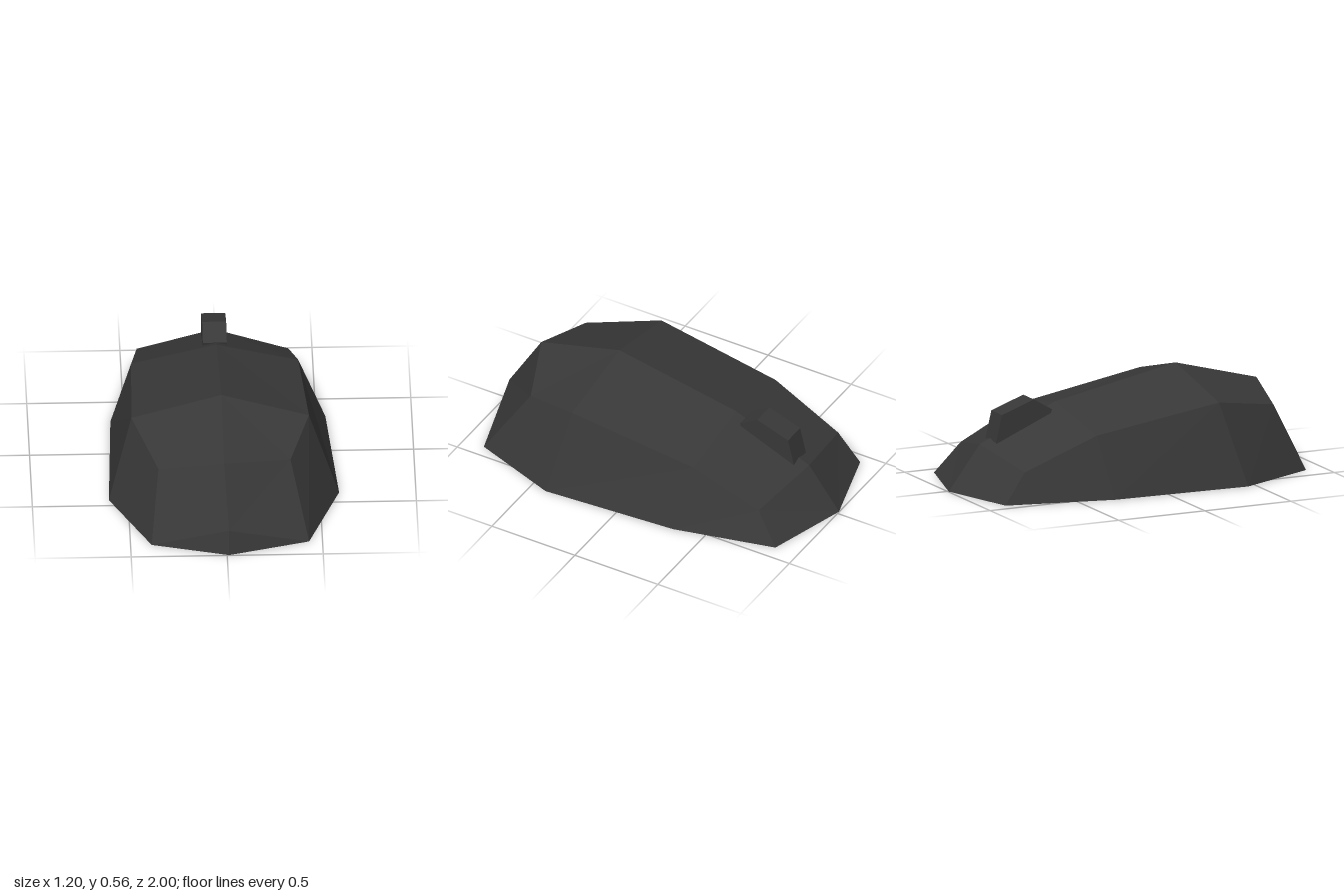
import * as THREE from 'three';

const shellMat = new THREE.MeshStandardMaterial({ color: 0x383838 });
shellMat.name = 'charcoal';
const sensorMat = new THREE.MeshStandardMaterial({ color: 0x8a2020 });
sensorMat.name = 'sensorRed';

// Flat-faced geometry from polygons, each fanned from its first corner
function facetGeometry(polygons) {
  const pos = [];
  for (const p of polygons) {
    for (let i = 1; i < p.length - 1; i++) pos.push(...p[0], ...p[i], ...p[i + 1]);
  }
  const g = new THREE.BufferGeometry();
  g.setAttribute('position', new THREE.Float32BufferAttribute(pos, 3));
  g.computeVertexNormals();
  return g;
}

export function createModel() {
  const group = new THREE.Group();
  group.name = 'computerMouse';

  // Cross-sections, front to back: left foot, left shoulder, ridge, right shoulder, right foot
  const sections = [
    [[0.43, 0, 0.88], [0.34, 0.36, 0.65], [-0.01, 0.43, 0.79], [-0.35, 0.36, 0.72], [-0.39, 0, 0.89]],
    [[0.6, 0, 0.41], [0.445, 0.435, 0.34], [-0.01, 0.555, 0.32], [-0.48, 0.435, 0.34], [-0.6, 0, 0.45]],
    [[0.55, 0, -0.33], [0.41, 0.325, -0.37], [-0.015, 0.42, -0.38], [-0.46, 0.325, -0.36], [-0.57, 0, -0.31]],
    [[0.42, 0, -0.87], [0.37, 0.16, -0.74], [-0.015, 0.235, -0.82], [-0.42, 0.16, -0.76], [-0.44, 0, -0.88]],
  ];
  const nose = [0.01, 0.13, 0.97], noseFoot = [0.01, 0, 1], tail = [-0.015, 0, -1];
  const faces = [];

  // Sides and top between neighbouring sections
  for (let s = 0; s < 3; s++) {
    const a = sections[s], b = sections[s + 1];
    for (let i = 0; i < 4; i++) faces.push([a[i], b[i], b[i + 1], a[i + 1]]);
  }

  // Front end, split by the nose crease
  const [fl, fls, fr, frs, frf] = sections[0];
  faces.push([nose, fl, fls, fr], [nose, fr, frs, frf]);
  faces.push([nose, noseFoot, fl], [nose, frf, noseFoot]);

  // Back end
  const [bl, bls, br, brs, brf] = sections[3];
  faces.push([tail, br, bls, bl], [tail, brf, brs, br]);

  // Flat underside
  faces.push([
    noseFoot, ...[...sections].map((s) => s[4]), tail, ...[...sections].reverse().map((s) => s[0]),
  ]);

  const shell = new THREE.Mesh(facetGeometry(faces), shellMat);
  shell.name = 'shell';
  group.add(shell);

  // Scroll wheel: faceted disc half sunk into the shell
  const profile = new THREE.Shape(
    [[0.435, 0.397], [0.54, 0.46], [0.725, 0.395], [0.76, 0.25], [0.66, 0.17], [0.48, 0.24]]
      .map(([z, y]) => new THREE.Vector2(z, y)),
  );
  const wheelGeo = new THREE.ExtrudeGeometry(profile, { depth: 0.125, bevelEnabled: false });
  wheelGeo.rotateY(Math.PI / 2); // profile axis now runs towards -z, thickness along +x
  wheelGeo.translate(-0.085, 0, 0);
  const wheel = new THREE.Mesh(wheelGeo, shellMat);
  wheel.name = 'scrollWheel';
  group.add(wheel);

  // Optical sensor on the underside
  const sensorGeo = new THREE.CircleGeometry(0.065, 8);
  sensorGeo.rotateX(Math.PI / 2);
  sensorGeo.translate(-0.03, -0.002, 0.06);
  const sensor = new THREE.Mesh(sensorGeo, sensorMat);
  sensor.name = 'opticalSensor';
  group.add(sensor);

  return group;
}
